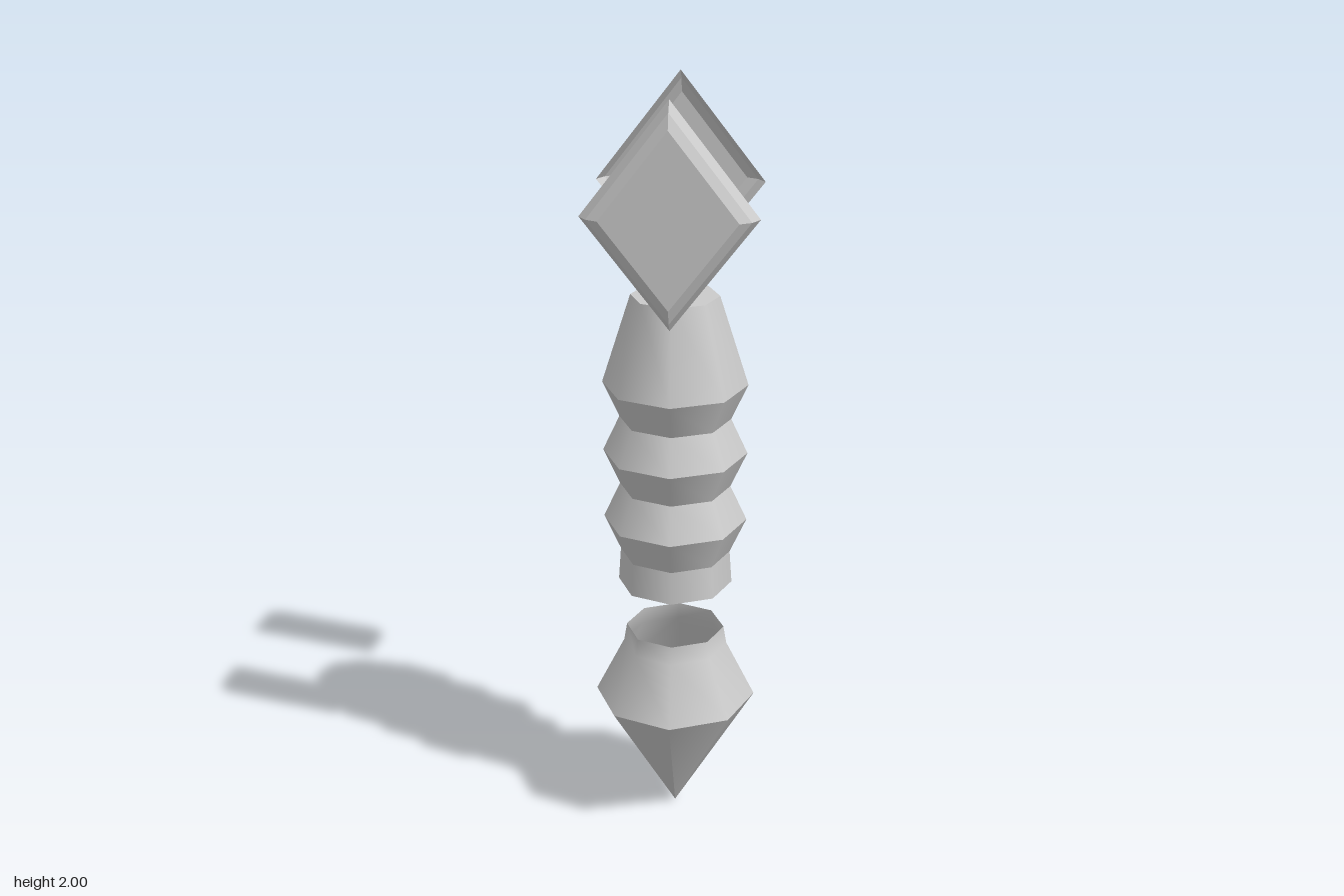
import * as THREE from 'three';
import { mergeGeometries } from 'three/addons/utils/BufferGeometryUtils.js';

const SIDES = 8;
const smooth = new THREE.MeshStandardMaterial({ color: 0xcccccc, side: THREE.DoubleSide });
const flat = new THREE.MeshStandardMaterial({ color: 0xcccccc, side: THREE.DoubleSide, flatShading: true });

const toPoints = (pairs) => pairs.map(([r, y]) => new THREE.Vector2(r, y));

// Octagonal bands, each smooth around its girth, with a sharp ridge where bands meet
function bandedMesh(name, bands) {
  const parts = bands.map((band) => new THREE.LatheGeometry(toPoints(band), SIDES));
  const mesh = new THREE.Mesh(mergeGeometries(parts), smooth);
  mesh.name = name;
  return mesh;
}

// Hollow bevelled diamond shell, open on the side facing the middle
function diamondPlate(name, turn) {
  const profile = [[1, 0.183], [0.91, 0.212], [0.775, 0.228], [0, 0.228]];
  const geometry = new THREE.LatheGeometry(toPoints(profile), 4);
  geometry.rotateX(Math.PI / 2);
  geometry.scale(0.216, 0.28, 1);
  geometry.rotateY(turn);
  geometry.translate(0, 1.72, 0);
  const mesh = new THREE.Mesh(geometry, flat);
  mesh.name = name;
  return mesh;
}

export function createModel() {
  const model = new THREE.Group();
  model.name = 'segmentedArm';

  // Pointed tip, open at the top
  model.add(bandedMesh('pointedTip', [
    [[0, 0], [0.214, 0.348]],
    [[0.214, 0.348], [0.138, 0.5], [0.13, 0.548]],
  ]));

  // Ridged column: collar, three ridges, tapered neck and flat top
  const bands = [[[0.15, 0.684], [0.144, 0.772]]];
  for (let i = 0; i < 3; i++) {
    const y = 0.772 + i * 0.187;
    const ridge = y + 0.094;
    const last = i === 2;
    bands.push([[0.144, y], [0.187, ridge]]);
    bands.push([[0.187, ridge], last ? [0.113, 1.474] : [0.144, y + 0.187]]);
  }
  bands.push([[0.113, 1.474], [0, 1.474]]);
  model.add(bandedMesh('ridgedColumn', bands));

  // Pair of floating diamond plates
  model.add(diamondPlate('frontPlate', 0), diamondPlate('backPlate', Math.PI));
  return model;
}
